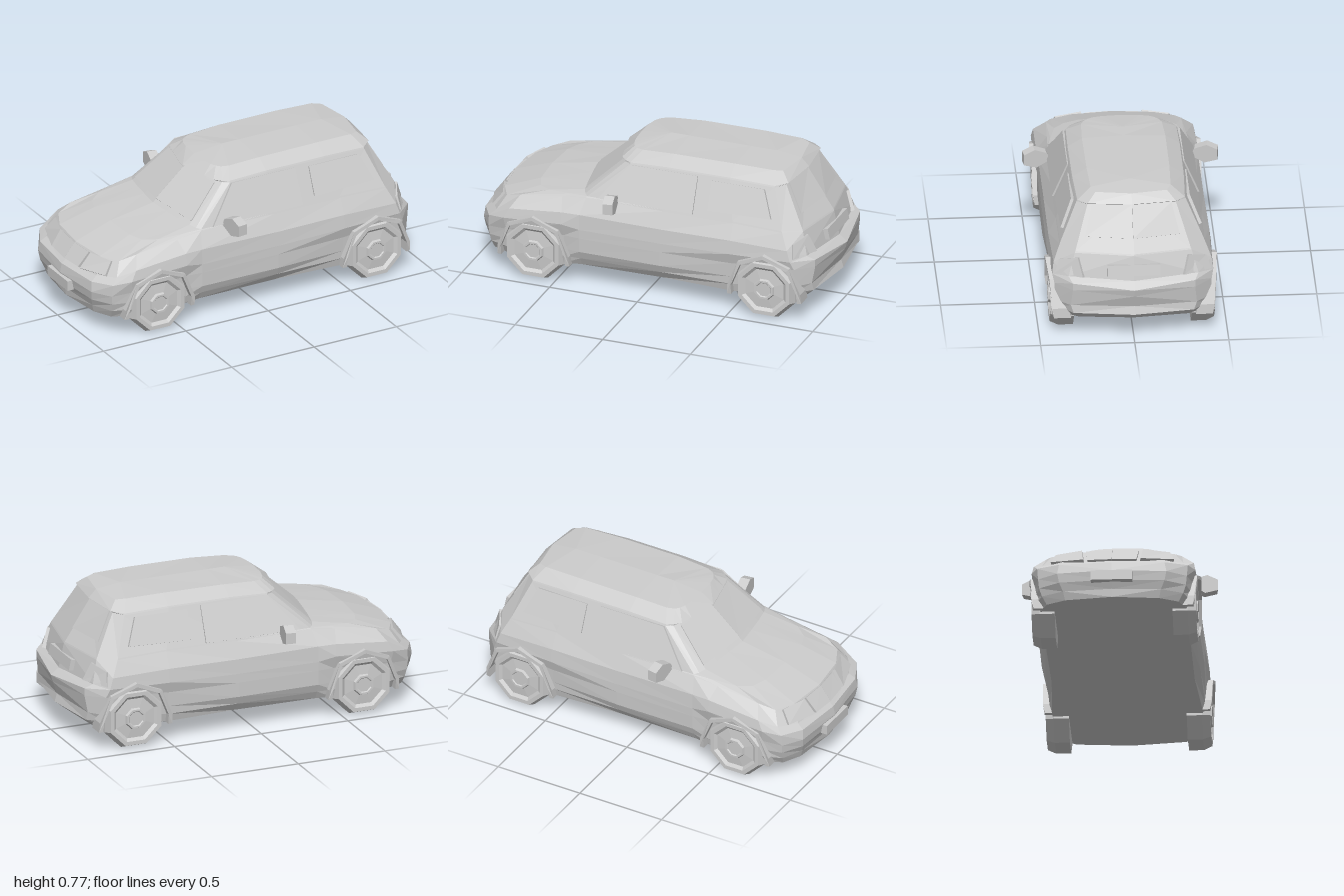
import * as THREE from 'three';

const mat = new THREE.MeshStandardMaterial({ color: 0xcccccc, flatShading: true, side: THREE.DoubleSide });

function add(parent, geo, name) {
  const mesh = new THREE.Mesh(geo, mat);
  mesh.name = name;
  parent.add(mesh);
  return mesh;
}

function fromTriangles(tris) {
  const geo = new THREE.BufferGeometry();
  geo.setAttribute('position', new THREE.Float32BufferAttribute(tris.flat(2), 3));
  geo.computeVertexNormals();
  return geo;
}

// Stack of closed rings; each ring is a half outline [x, y, z], nose to tail, mirrored in z.
function loft(rings) {
  const full = rings.map(r => [...r, ...r.slice(1, -1).reverse().map(([x, y, z]) => [x, y, -z])]);
  const n = full[0].length, tris = [];
  for (let i = 0; i < n; i++) {
    const k = (i + 1) % n;
    tris.push([[0, full[0][i][1], 0], full[0][k], full[0][i]]);
    for (let j = 0; j < full.length - 1; j++) {
      const a = full[j][i], b = full[j][k], c = full[j + 1][k], d = full[j + 1][i];
      // Keep the diagonals mirrored on the two sides
      if (i < n / 2) tris.push([a, b, c], [a, c, d]);
      else tris.push([a, b, d], [b, c, d]);
    }
  }
  return fromTriangles(tris);
}

// Thin plate on a polygon (counter-clockwise from outside), mirrored for side = -1.
function slab(points, side, lift, depth) {
  const p = points.map(([x, y, z]) => new THREE.Vector3(x, y, z * side));
  if (side < 0) p.reverse();
  const normal = new THREE.Vector3();
  for (let i = 1; i < p.length - 1; i++) {
    normal.add(p[i].clone().sub(p[0]).cross(p[i + 1].clone().sub(p[0])));
  }
  normal.normalize();
  const top = p.map(v => v.clone().addScaledVector(normal, lift).toArray());
  const low = p.map(v => v.clone().addScaledVector(normal, -depth).toArray());
  const tris = [];
  for (let i = 0; i < p.length; i++) {
    const k = (i + 1) % p.length;
    tris.push([low[i], low[k], top[k]], [low[i], top[k], top[i]]);
    if (i > 0 && k > 0) tris.push([top[0], top[i], top[k]], [low[0], low[k], low[i]]);
  }
  return fromTriangles(tris);
}

const level = (y, pts) => pts.map(([x, z]) => [x, y, z]);

function bodyShell() {
  const floor = level(0.11, [[-.95, 0], [-.92, .25], [-.87, .35], [-.78, .39], [-.45, .40],
    [-.36, .385], [.1, .38], [.5, .40], [.84, .37], [.89, .29], [.92, 0]]);
  const skirt = level(0.155, [[-.955, 0], [-.935, .26], [-.88, .375], [-.78, .412], [-.45, .412],
    [-.36, .41], [.1, .412], [.5, .412], [.85, .40], [.935, .32], [.978, 0]]);
  const sill = level(0.20, [[-.975, 0], [-.95, .28], [-.885, .39], [-.78, .415], [-.45, .415],
    [-.36, .428], [.1, .432], [.5, .415], [.86, .412], [.93, .335], [.965, 0]]);
  const bumperLow = [[-.985, .25, 0], [-.957, .25, .29], [-.89, .25, .395], [-.78, .26, .42], [-.45, .28, .42],
    [-.36, .28, .43], [.1, .28, .433], [.5, .28, .42], [.86, .30, .418], [.945, .295, .325], [.99, .27, 0]];
  const bumper = [[-.975, .30, 0], [-.95, .305, .28], [-.885, .315, .40], [-.79, .33, .435], [-.46, .35, .44],
    [-.36, .33, .43], [.1, .33, .432], [.5, .34, .437], [.84, .345, .428], [.945, .335, .325], [1, .31, 0]];
  const shoulder = [[-.945, .325, 0], [-.915, .33, .27], [-.85, .345, .375], [-.76, .385, .425], [-.46, .415, .428],
    [-.36, .415, .425], [.1, .41, .425], [.5, .415, .428], [.82, .405, .42], [.905, .36, .345], [.955, .345, 0]];
  const belt = [[-.89, .41, 0], [-.865, .41, .22], [-.81, .415, .33], [-.72, .445, .36], [-.48, .48, .37],
    [-.34, .50, .378], [.1, .50, .387], [.5, .50, .387], [.78, .49, .385], [.87, .48, .31], [.925, .478, 0]];
  const behind = dy => belt.slice(6).map(([x, y, z]) => [x - dy * .5, y + dy, z - dy * .4]);
  const bonnet = [[-.68, .482, 0], [-.67, .478, .19], [-.64, .476, .27], [-.57, .484, .325],
    [-.43, .498, .355], [-.34, .503, .376], ...behind(.004)];
  const scuttle = [[-.42, .528, 0], [-.405, .524, .12], [-.39, .52, .22], [-.372, .516, .31],
    [-.355, .51, .35], [-.335, .507, .372], ...behind(.008)];
  const header = [[-.225, .70, 0], [-.205, .70, .1], [-.19, .70, .17], [-.172, .70, .24], [-.155, .70, .275],
    [-.12, .70, .298], [.1, .71, .302], [.45, .71, .30], [.70, .70, .29], [.745, .705, .235], [.77, .705, 0]];
  const overhang = header.map(([x, y, z], i) =>
    [x + (i < 4 ? -.015 : i > 8 ? .012 : 0), y + .008, z - (i > 4 && i < 9 ? .004 : 0)]);
  const roofRim = [[-.17, .757, 0], [-.165, .756, .1], [-.155, .755, .15], [-.14, .754, .18], [-.12, .753, .20],
    [-.08, .755, .215], [.1, .765, .222], [.45, .767, .22], [.66, .763, .213], [.71, .757, .19], [.74, .757, 0]];
  const roofRidge = roofRim.map(([x]) => [THREE.MathUtils.clamp(x, 0, .6), .775, 0]);
  return loft([floor, skirt, sill, bumperLow, bumper, shoulder, belt, bonnet, scuttle,
    header, overhang, roofRim, roofRidge]);
}

// Octagonal tyre, dished rim and raised hub turned as one profile
function wheelGeometry(side) {
  const profile = [[0, -.06], [.178, -.06], [.178, .02], [.158, .064], [.135, .064], [.118, .05],
    [.062, .055], [.056, .068], [.045, .068], [.04, .063], [0, .063]];
  const geo = new THREE.LatheGeometry(profile.map(p => new THREE.Vector2(...p)), 8, Math.PI / 8);
  return geo.rotateX(side * Math.PI / 2);
}

// Half-octagon wheel-arch lip that sinks into the body towards its feet; end is -1 at the nose, 1 at the tail
function archGeometry(side, end) {
  const arc = (r, foot) => {
    const pts = [[foot, -.055]];
    for (let a = 0; a <= 4; a++) pts.push([r * Math.cos(a * Math.PI / 4), r * Math.sin(a * Math.PI / 4)]);
    return [...pts, [-foot, -.055]];
  };
  const outline = [...arc(.205, .208), ...arc(.184, .184).reverse()];
  const shape = new THREE.Shape(outline.map(p => new THREE.Vector2(...p)));
  const geo = new THREE.ExtrudeGeometry(shape, { depth: .09, bevelEnabled: false });
  geo.translate(0, 0, -.09);
  const pos = geo.attributes.position;
  for (let i = 0; i < pos.count; i++) {
    const u = pos.getX(i) * end / .21;
    const low = pos.getY(i) < -.01 ? .008 : 0;
    pos.setZ(i, pos.getZ(i) - u * u * (u > 0 ? .027 : .01) - low);
  }
  if (side < 0) geo.rotateY(Math.PI);
  geo.computeVertexNormals();
  return geo;
}

export function createModel() {
  const car = new THREE.Group();
  car.name = 'car';
  add(car, bodyShell(), 'body');

  const flank = pts => pts.map(([x, y]) => [x, y, .387 - (y - .51) * .425]);
  const doorGlass = flank([[-.27, .512], [.27, .512], [.27, .70], [-.115, .70]]);
  const quarterGlass = flank([[.35, .54], [.71, .55], [.65, .69], [.35, .69]]);
  const rearGlass = [[.832, .555, .25], [.873, .555, 0], [.773, .705, 0], [.75, .705, .21]];
  const windscreen = [[-.40, .545, 0], [-.357, .53, .305], [-.183, .69, .244], [-.236, .69, 0]];
  const headlight = [[-.942, .325, .15], [-.885, .34, .325], [-.835, .405, .30], [-.882, .405, .16]];
  const grille = [[-.952, .322, 0], [-.942, .325, .13], [-.882, .402, .14], [-.892, .402, 0]];
  const taillight = [[.845, .355, .41], [.925, .36, .265], [.885, .46, .29], [.835, .43, .385]];
  // Mirror outline [y, z], swept back towards its tip
  const mirror = [[.51, .375], [.55, .395], [.575, .46], [.55, .517], [.49, .517], [.47, .45]]
    .map(([y, z]) => [-.185 + (z - .375) * .15, y, z]);

  for (const side of [1, -1]) {
    const label = side > 0 ? 'Left' : 'Right';
    add(car, slab(doorGlass, side, .006, .01), 'doorWindow' + label);
    add(car, slab(quarterGlass, side, .006, .01), 'quarterWindow' + label);
    add(car, slab(rearGlass, side, .005, .01), 'rearWindow' + label);
    add(car, slab(windscreen, side, .005, .01), 'windscreen' + label);
    add(car, slab(headlight, side, .012, .03), 'headlight' + label);
    add(car, slab(grille, side, .008, .02), 'grille' + label);
    add(car, slab(taillight, side, .012, .03), 'taillight' + label);
    add(car, slab(mirror, side, .027, .027), 'mirror' + label);

    for (const [x, name] of [[-.62, 'front'], [.695, 'rear']]) {
      add(car, wheelGeometry(side), name + 'Wheel' + label).position.set(x, .165, side * .373);
      // The arch of the other side is turned about y, so its fore and aft ends swap
      add(car, archGeometry(side, Math.sign(x) * side), name + 'Arch' + label)
        .position.set(x, .165, side * .456);
    }
  }

  // Blank plates at nose and tail
  add(car, new THREE.BoxGeometry(.04, .055, .22), 'frontPlate').position.set(-.98, .217, 0);
  const rearPlate = add(car, new THREE.BoxGeometry(.04, .06, .28), 'rearPlate');
  rearPlate.position.set(.93, .4, 0);
  rearPlate.rotation.z = .22;
  return car;
}
